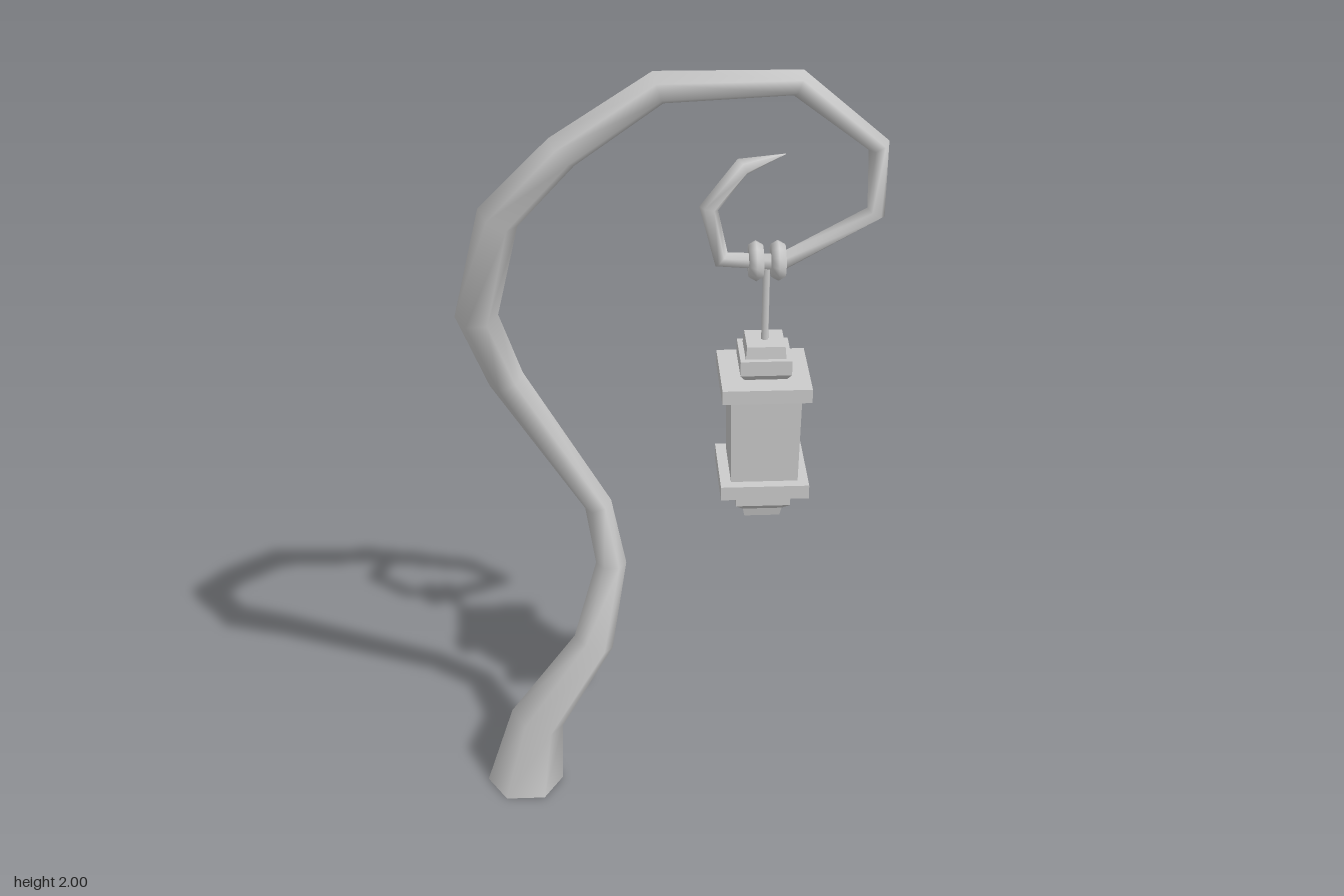
import * as THREE from 'three';

const material = () => new THREE.MeshStandardMaterial({ color: 0xcccccc });

// Centre line of the crooked post: x, y, z, radius
const POST = [
  [-0.212, 0, -0.29, 0.098], [-0.19, 0.2, -0.26, 0.07], [-0.08, 0.43, -0.16, 0.052],
  [-0.015, 0.64, -0.157, 0.038], [-0.045, 0.82, -0.17, 0.034], [-0.228, 1.2, -0.288, 0.043],
  [-0.315, 1.4, -0.287, 0.05], [-0.3, 1.66, -0.22, 0.049], [-0.21, 1.82, -0.105, 0.043],
  [-0.05, 1.96, 0.035, 0.039], [0.16, 1.968, 0.255, 0.031], [0.317, 1.805, 0.362, 0.025],
  [0.335, 1.635, 0.35, 0.023], [0.185, 1.515, 0.2, 0.022], [0.105, 1.515, 0.09, 0.022],
  [0.087, 1.64, 0.065, 0.022], [0.162, 1.727, 0.098, 0.022], [0.272, 1.735, 0.135, 0.001],
];

// Six-sided sweep whose cross-sections keep a corner in the plane of the crook
function sweep(path, sides) {
  const pts = path.map(([x, y, z]) => new THREE.Vector3(x, y, z));
  const normal = new THREE.Vector3(1, 0, -1).normalize();
  const dir = (i) => pts[i + 1].clone().sub(pts[i]).normalize();
  const last = pts.length - 1;
  const pos = [], index = [];
  pts.forEach((p, i) => {
    const t = i === 0 ? new THREE.Vector3(0, 1, 0)
      : i === last ? dir(last - 1) : dir(i - 1).add(dir(i)).normalize();
    const u = normal.clone().cross(t).normalize();
    const b = t.clone().cross(u);
    for (let j = 0; j < sides; j++) {
      const a = (j / sides) * Math.PI * 2;
      const v = p.clone().addScaledVector(u, Math.cos(a) * path[i][3])
        .addScaledVector(b, Math.sin(a) * path[i][3]);
      pos.push(v.x, v.y, v.z);
      if (i < last) {
        const k = (j + 1) % sides, r = i * sides, s = r + sides;
        index.push(r + j, r + k, s + k, r + j, s + k, s + j);
      }
    }
  });
  const geo = new THREE.BufferGeometry();
  geo.setAttribute('position', new THREE.Float32BufferAttribute(pos, 3));
  geo.setIndex(index);
  geo.computeVertexNormals();
  return geo;
}

export function createModel() {
  const model = new THREE.Group();
  model.name = 'hangingLanternPost';
  const add = (parent, name, geo, mat = material()) => {
    const mesh = new THREE.Mesh(geo, mat);
    mesh.name = name;
    parent.add(mesh);
    return mesh;
  };

  // Post, open at the foot
  const bark = material();
  bark.side = THREE.DoubleSide;
  add(model, 'crookedPost', sweep(POST, 6), bark);

  // Two rings around the curl
  [-0.018, 0.018].forEach((d, i) => {
    const ring = add(model, 'hangingRing' + (i + 1), new THREE.TorusGeometry(0.028, 0.019, 6, 12));
    ring.rotation.y = Math.PI / 4;
    ring.position.set(0.165 + d, 1.518, 0.175 + d);
  });

  // Lantern, a stack of square blocks set on the diagonal
  const lantern = new THREE.Group();
  lantern.name = 'lantern';
  lantern.position.set(0.167, 0, 0.173);
  model.add(lantern);
  const rod = add(lantern, 'hangingRod', new THREE.CylinderGeometry(0.009, 0.009, 0.2, 6));
  rod.position.y = 1.405;

  // name, bottom y, top y, half diagonal at bottom and top
  [
    ['bottomFoot', 0.86, 0.882, 0.06, 0.066],
    ['bottomStep', 0.882, 0.9, 0.066, 0.092],
    ['bottomCollar', 0.9, 0.942, 0.092, 0.092],
    ['bottomPlate', 0.942, 0.977, 0.148, 0.148],
    ['lanternBody', 0.97, 1.21, 0.112, 0.118],
    ['topPlate', 1.2, 1.235, 0.148, 0.148],
    ['topStep', 1.235, 1.25, 0.07, 0.085],
    ['topCollar', 1.25, 1.287, 0.085, 0.085],
    ['topCap', 1.287, 1.317, 0.067, 0.063],
  ].forEach(([name, y0, y1, r0, r1]) => {
    const mat = material();
    mat.flatShading = true;
    const block = add(lantern, name, new THREE.CylinderGeometry(r1, r0, y1 - y0, 4), mat);
    block.position.y = (y0 + y1) / 2;
  });

  return model;
}
